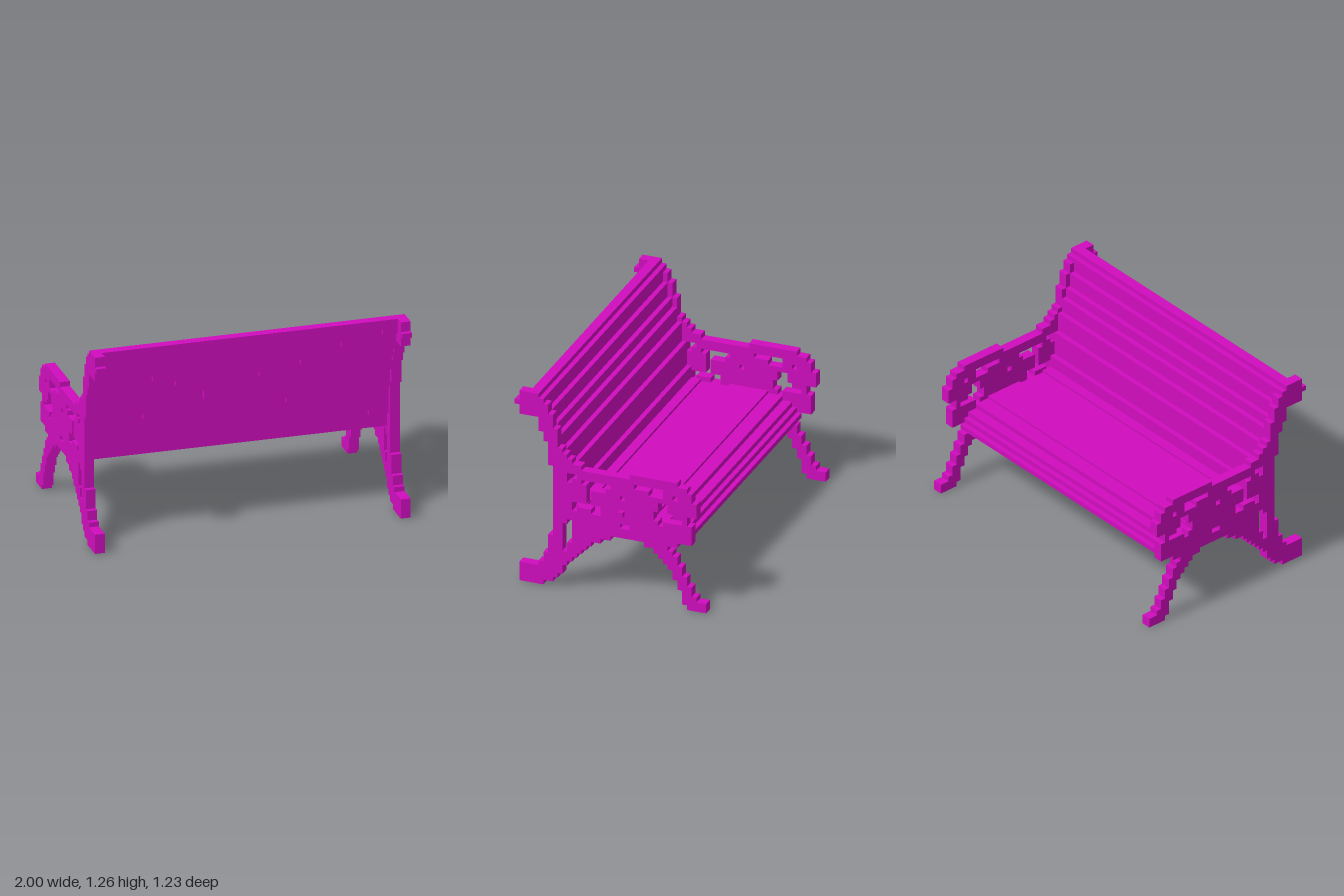
import * as THREE from 'three';

// One block of the stepped grid. Grid columns c run from +z to -z, rows r run upwards, s runs along x.
const V = 2 / 65;

export function createModel() {
  const bench = new THREE.Group();
  bench.name = 'parkBench';
  const paint = new THREE.MeshStandardMaterial({ color: 0xd00dbe });
  paint.name = 'magentaPaint';

  const add = (name, geometry) => {
    const mesh = new THREE.Mesh(geometry, paint);
    mesh.name = name;
    bench.add(mesh);
  };

  // Box from grid limits along x (s), z (c) and y (r)
  const block = (name, s0, s1, c0, c1, r0, r1) => {
    const g = new THREE.BoxGeometry((s1 - s0) * V, (r1 - r0) * V, (c1 - c0) * V);
    g.translate(((s0 + s1) / 2 - 32.5) * V, (r0 + r1) / 2 * V, (20 - (c0 + c1) / 2) * V);
    add(name, g);
  };

  // Staircase path: from (c, r), each pair moves sideways to c, then up or down to r
  const stairs = (path, steps) => {
    let [c, r] = steps;
    path.moveTo((20 - c) * V, r * V);
    for (let i = 2; i < steps.length; i += 2) {
      c = steps[i];
      path.lineTo((20 - c) * V, r * V);
      r = steps[i + 1];
      path.lineTo((20 - c) * V, r * V);
    }
    return path;
  };

  // Cast end frame: back post, armrest and both legs in one outline
  const outline = [
    1, 41, 5, 40, 6, 39, 7, 37, 8, 34, 9, 30, 10, 29, 11, 28, 12, 27, 14, 26,
    24, 27, 34, 26, 36, 25, 37, 23, 38, 20, 36, 18, 37, 14, 34, 13,
    32, 12, 33, 11, 34, 9, 35, 7, 36, 5, 37, 3, 38, 2, 40, 0,
    36, 1, 35, 4, 34, 6, 33, 8, 32, 9, 31, 10, 30, 11, 29, 12, 27, 13,
    20, 12, 18, 11, 16, 10, 15, 9, 14, 8, 13, 7, 12, 6, 11, 5, 10, 3, 9, 2, 8, 1, 6, 0,
    1, 4, 5, 5, 6, 7, 7, 11, 8, 26, 7, 31, 6, 33, 5, 36, 1, 38, 0, 39, 1, 41,
  ];
  const scrollHoles = [
    [10, 14, 11, 15, 12, 10, 11, 8, 10, 14],
    [11, 25, 13, 24, 12, 23, 11, 25],
    [14, 24, 20, 23, 19, 22, 16, 19, 18, 17, 16, 18, 13, 17, 12, 19, 15, 23, 14, 24],
    [22, 22, 23, 21, 22, 22],
    [22, 16, 24, 15, 22, 16],
    [25, 25, 31, 23, 28, 24, 25, 25],
    [33, 24, 34, 23, 33, 24],
    [30, 22, 32, 20, 33, 19, 35, 18, 31, 17, 30, 18, 29, 20, 30, 22],
  ];
  const frame = stairs(new THREE.Shape(), outline);
  frame.holes = scrollHoles.map((h) => stairs(new THREE.Path(), h));
  for (const [name, s] of [['rightEndFrame', 2], ['leftEndFrame', 64]]) {
    const g = new THREE.ExtrudeGeometry(frame, { depth: 2 * V, bevelEnabled: false });
    g.rotateY(-Math.PI / 2);
    g.translate((s - 32.5) * V, 0, 0);
    add(name, g);
  }
  block('sideStud', 64, 65, 22, 23, 18, 19);

  // Leaning backrest: each band is one column further back [c, bottom row, top row]
  const bands = [
    [3, 39, 41], [4, 37, 40], [5, 34, 37], [6, 32, 34], [7, 29, 32],
    [8, 25, 29], [9, 20, 25], [10, 16, 20],
  ];
  for (const [c, r0, r1] of bands) block('backSlat', 2, 62, c, c + 2, r0, r1);

  // Uneven lower edges of the back slats [s0, s1, c, bottom row, top row]
  const lips = [
    [2, 5, 3, 38, 39], [59, 62, 3, 38, 39],
    [2, 13, 4, 36, 37], [51, 62, 4, 36, 37],
    [13, 21, 5, 33, 34], [43, 45, 5, 33, 34],
    [18, 29, 6, 31, 32], [35, 45, 6, 31, 32],
    [24, 39, 7, 28, 29], [24, 37, 7, 27, 28],
    [12, 22, 8, 24, 25], [41, 52, 8, 24, 25],
    [2, 6, 9, 19, 20], [58, 62, 9, 19, 20],
  ];
  for (const [s0, s1, c, r0, r1] of lips) block('slatLip', s0, s1, c, c + 1, r0, r1);

  // Seat, stepping down to the open edge [c0, c1, bottom row, top row]
  const seat = [
    [12, 14, 16, 17.5], [14, 20, 16, 17], [20, 28, 16, 17.5],
    [28, 31, 16, 17], [31, 33, 15, 16], [33, 34, 14, 15], [34, 35, 13, 14],
  ];
  for (const [c0, c1, r0, r1] of seat) block('seatSlat', 2, 62, c0, c1, r0, r1);

  return bench;
}
